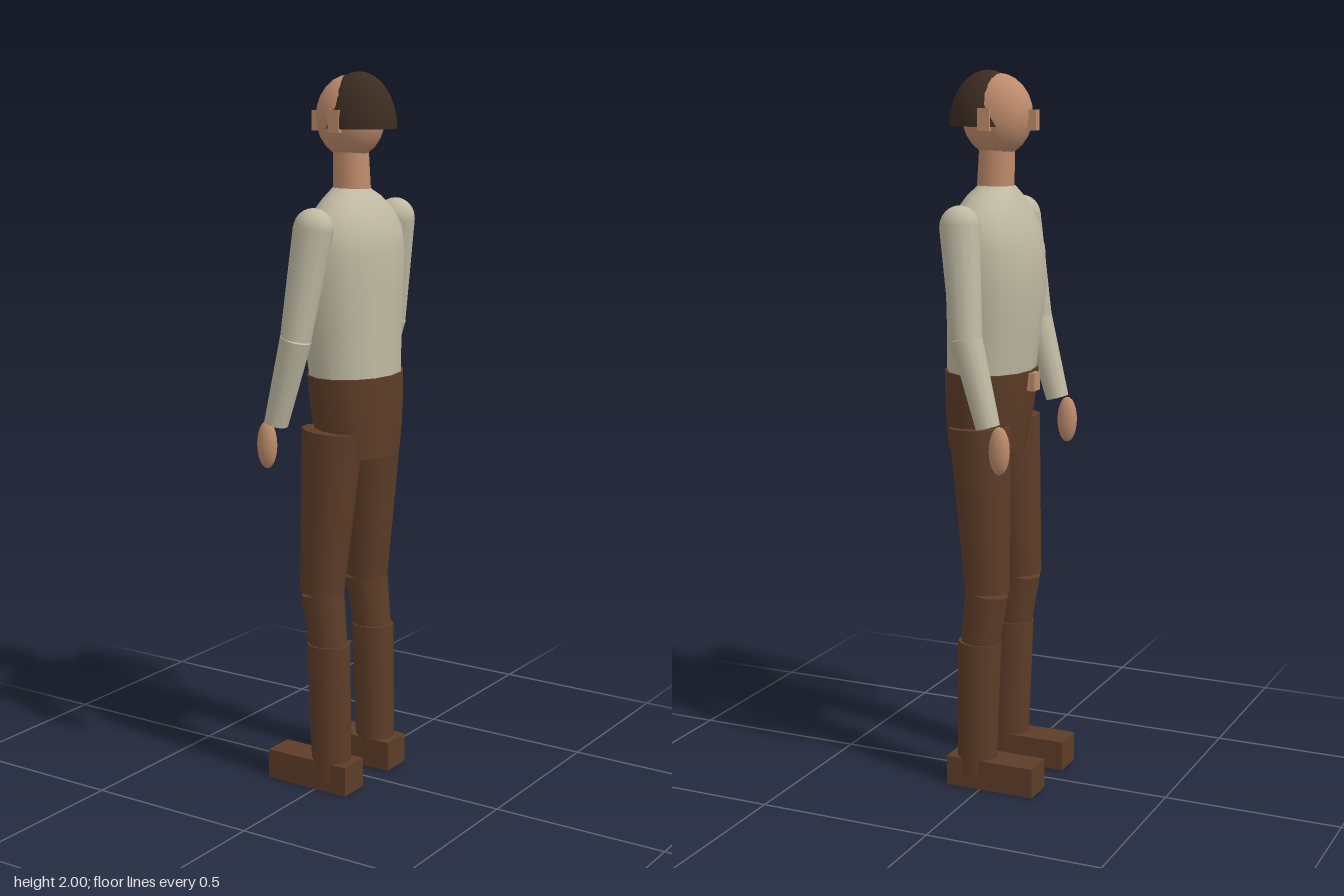
import * as THREE from 'three';
import { mergeVertices } from 'three/addons/utils/BufferGeometryUtils.js';

const material = (name, color) => {
  const m = new THREE.MeshStandardMaterial({ color });
  m.name = name;
  return m;
};

export function createModel() {
  const skin = material('skin', 0xbf8c6c);
  const shirt = material('shirt cream', 0xc0baa3);
  const cloth = material('trouser brown', 0x5e3d28);
  const hair = material('hair dark brown', 0x3c2c21);

  const model = new THREE.Group();
  model.name = 'standingFigure';

  const add = (name, geometry, mat, x = 0, y = 0, z = 0, parent = model) => {
    const mesh = new THREE.Mesh(geometry, mat);
    mesh.name = name;
    mesh.position.set(x, y, z);
    parent.add(mesh);
    return mesh;
  };

  // Box given by its limits on each axis
  const box = (name, mat, [x0, x1], [y0, y1], [z0, z1], parent) =>
    add(name, new THREE.BoxGeometry(x1 - x0, y1 - y0, z1 - z0), mat,
      (x0 + x1) / 2, (y0 + y1) / 2, (z0 + z1) / 2, parent);

  const ellipsoid = (name, mat, [x, y, z], [rx, ry, rz], parent, sides = 16) =>
    add(name, new THREE.SphereGeometry(1, sides, 12).scale(rx, ry, rz), mat, x, y, z, parent);

  // Elliptical body through rings listed top to bottom: [y, xMin, xMax, halfDepth]
  const loft = (name, mat, rings) => {
    const n = rings.length - 1;
    let g = new THREE.CylinderGeometry(1, 1, 1, 14, n, false, Math.PI / 2);
    g.deleteAttribute('uv');
    g = mergeVertices(g);
    const p = g.attributes.position;
    for (let i = 0; i < p.count; i++) {
      const [y, x0, x1, rz] = rings[Math.round((0.5 - p.getY(i)) * n)];
      p.setXYZ(i, (x0 + x1) / 2 + p.getX(i) * (x1 - x0) / 2, y, p.getZ(i) * rz);
    }
    g.computeVertexNormals();
    return add(name, g, mat);
  };

  // Tapered limb between two points; depth squashes it along z
  const limb = (name, mat, top, bottom, rTop, rBottom, depth, parent) => {
    const a = new THREE.Vector3(...top), b = new THREE.Vector3(...bottom);
    const axis = a.clone().sub(b);
    const g = new THREE.CylinderGeometry(rTop, rBottom, axis.length(), 12).scale(1, 1, depth);
    const mid = a.add(b).multiplyScalar(0.5);
    const mesh = add(name, g, mat, mid.x, mid.y, mid.z, parent);
    mesh.quaternion.setFromUnitVectors(new THREE.Vector3(0, 1, 0), axis.normalize());
    return mesh;
  };

  // Torso and hips
  loft('torso', shirt, [
    [1.69, -0.035, 0.07, 0.05],
    [1.665, -0.05, 0.092, 0.1],
    [1.63, -0.068, 0.115, 0.145],
    [1.58, -0.09, 0.138, 0.176],
    [1.52, -0.106, 0.148, 0.185],
    [1.42, -0.113, 0.148, 0.182],
    [1.3, -0.1, 0.148, 0.165],
    [1.18, -0.085, 0.15, 0.153],
  ]);
  loft('hips', cloth, [
    [1.185, -0.092, 0.156, 0.16],
    [1.08, -0.08, 0.156, 0.155],
    [0.96, -0.058, 0.152, 0.125],
  ]);
  box('buckle', skin, [-0.105, -0.07], [1.13, 1.18], [-0.02, 0.02]);

  // Head
  limb('neck', skin, [0.016, 1.79, 0], [0.02, 1.68, 0], 0.05, 0.053, 0.9);
  ellipsoid('face', skin, [0.015, 1.88, 0], [0.1, 0.112, 0.082], model, 20);
  box('nose', skin, [-0.104, -0.07], [1.84, 1.895], [-0.012, 0.012]);
  const cap = new THREE.Group();
  cap.name = 'hair';
  cap.position.set(0.042, 1.85, 0);
  model.add(cap);
  add('hairDome', new THREE.SphereGeometry(1, 20, 8, 0, Math.PI * 2, 0, Math.PI / 2)
    .scale(0.11, 0.15, 0.089), hair, 0, 0, 0, cap);
  add('hairUnderside', new THREE.CircleGeometry(1, 20).rotateX(Math.PI / 2)
    .scale(0.11, 1, 0.089), hair, 0, 0, 0, cap);

  // Paired parts: the figure looks toward -x, so its sides lie along z
  for (const [side, s] of [['left', 1], ['right', -1]]) {
    const span = (a, b) => [Math.min(s * a, s * b), Math.max(s * a, s * b)];

    box(side + 'Ear', skin, [0, 0.035], [1.84, 1.9], span(0.07, 0.089));

    // Arm
    const arm = new THREE.Group();
    arm.name = side + 'Arm';
    model.add(arm);
    ellipsoid('shoulder', shirt, [0.032, 1.595, s * 0.205], [0.056, 0.055, 0.049], arm, 12);
    limb('upperArm', shirt, [0.032, 1.595, s * 0.205], [-0.003, 1.3, s * 0.24], 0.056, 0.043, 0.92, arm);
    limb('forearm', shirt, [-0.002, 1.303, s * 0.24], [-0.066, 1.067, s * 0.243], 0.043, 0.033, 1, arm);
    ellipsoid('hand', skin, [-0.098, 1.005, s * 0.241], [0.03, 0.066, 0.022], arm, 12);

    // Leg
    const leg = new THREE.Group();
    leg.name = side + 'Leg';
    model.add(leg);
    limb('thigh', cloth, [0.022, 1.035, s * 0.1], [-0.005, 0.57, s * 0.114], 0.089, 0.064, 0.88, leg);
    limb('knee', cloth, [-0.003, 0.568, s * 0.114], [0.016, 0.42, s * 0.115], 0.063, 0.056, 0.88, leg);
    limb('shin', cloth, [0.018, 0.425, s * 0.115], [0.028, 0.03, s * 0.115], 0.063, 0.057, 0.88, leg);
    box('foot', cloth, [-0.16, 0.102], [0, 0.085], span(0.067, 0.16), leg);
  }
  return model;
}
